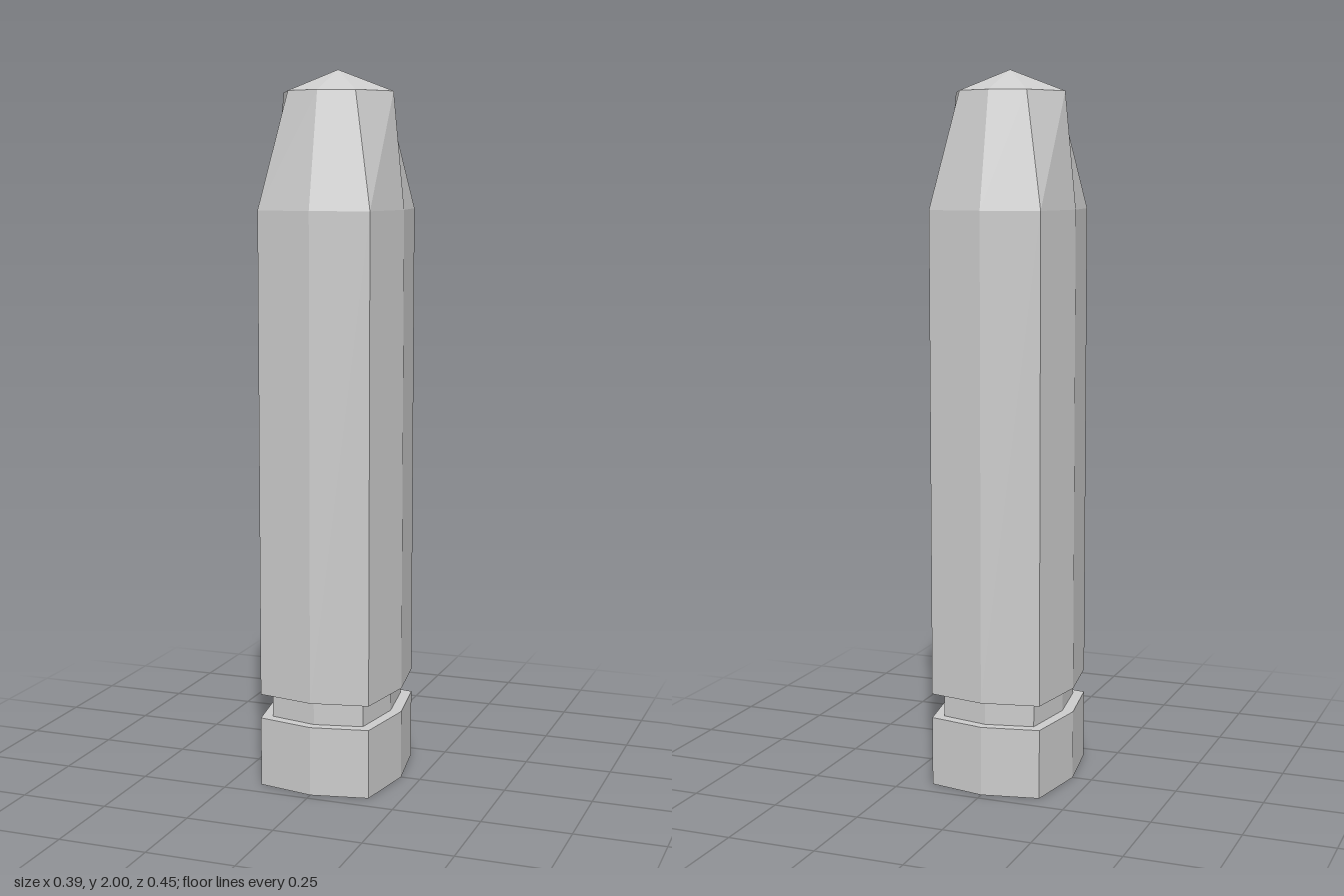
import * as THREE from 'three';

// Eight-sided ring: side point x, corner (cx, cz), front/back point z, at height y
function ring(y, x, cx, cz, z) {
  return [[x, 0], [cx, cz], [0, z], [-cx, cz], [-x, 0], [-cx, -cz], [0, -z], [cx, -cz]]
    .map(([px, pz]) => [px, y, pz]);
}

// Loft through rings, closing both ends; tipY is the height of the top cap's centre
function loft(rings, tipY) {
  const pos = [];
  const tri = (...corners) => corners.forEach((c) => pos.push(...c));
  const first = rings[0];
  const last = rings[rings.length - 1];
  for (let i = 0; i < 8; i++) {
    const j = (i + 1) % 8;
    for (let k = 0; k < rings.length - 1; k++) {
      const a = rings[k], b = rings[k + 1];
      tri(a[i], b[i], a[j]);
      tri(a[j], b[i], b[j]);
    }
    tri([0, first[0][1], 0], first[i], first[j]);
    tri([0, tipY, 0], last[j], last[i]);
  }
  const geometry = new THREE.BufferGeometry();
  geometry.setAttribute('position', new THREE.Float32BufferAttribute(pos, 3));
  geometry.computeVertexNormals();
  return geometry;
}

export function createModel() {
  const group = new THREE.Group();
  group.name = 'taperedPost';
  const grey = new THREE.MeshStandardMaterial({ color: 0xcccccc, flatShading: true });
  grey.name = 'light grey';

  const outer = (y) => ring(y, 0.193, 0.161, 0.193, 0.225);
  const neck = (y) => ring(y, 0.161, 0.135, 0.167, 0.196);

  const add = (name, rings, tipY) => {
    const mesh = new THREE.Mesh(loft(rings, tipY), grey);
    mesh.name = name;
    group.add(mesh);
  };

  // Foot, recessed neck, and long shaft with a tapered, pointed head
  add('base', [outer(0), outer(0.196)], 0.196);
  add('neck', [neck(0.196), neck(0.265)], 0.265);
  add('shaft', [outer(0.265), outer(1.62)], 1.62);
  add('head', [outer(1.62), ring(1.94, 0.161, 0.097, 0.129, 0.161)], 2);

  return group;
}
